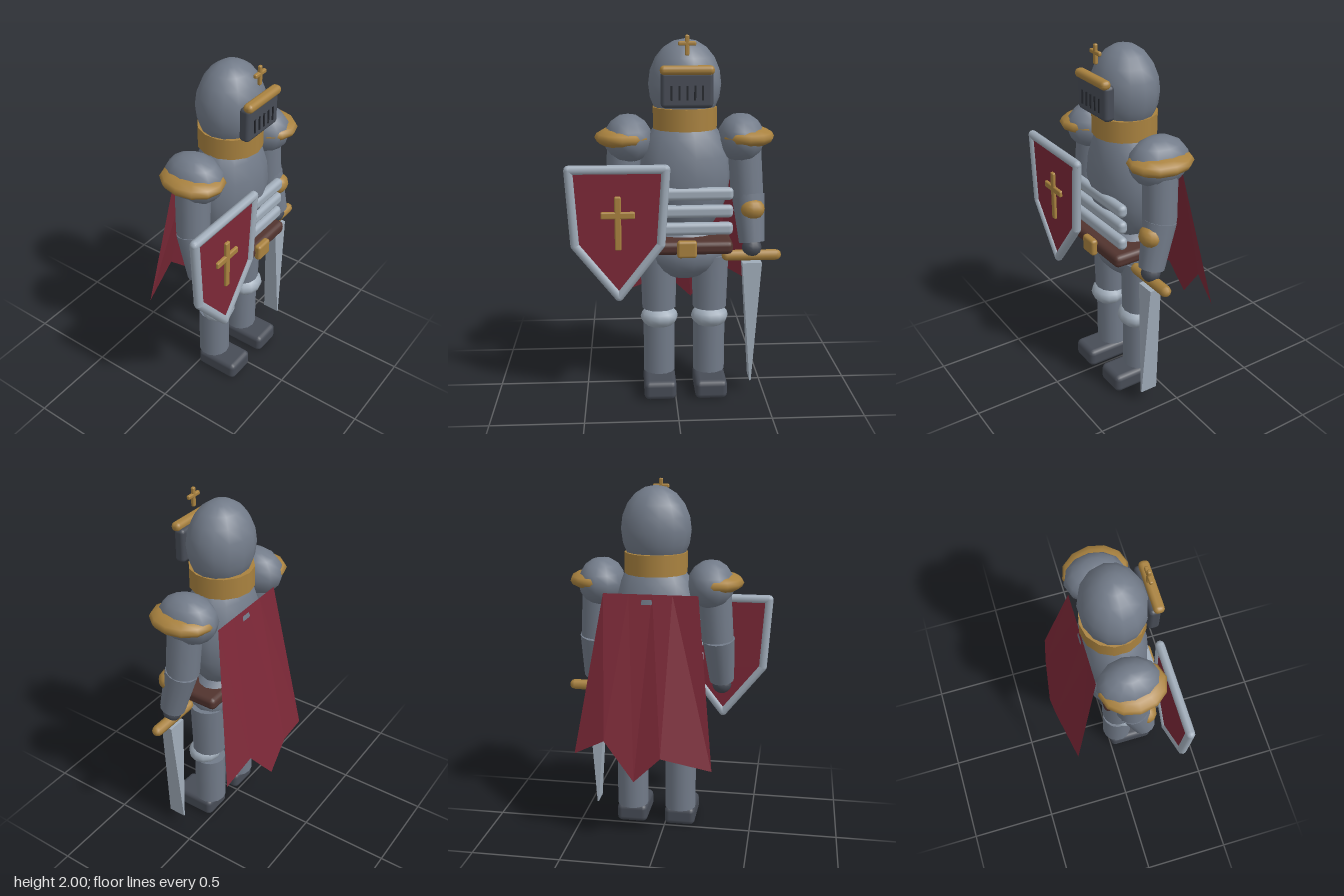
import * as THREE from 'three';
import { RoundedBoxGeometry } from 'three/addons/geometries/RoundedBoxGeometry.js';

const material = (name, color, side = THREE.FrontSide) => {
  const m = new THREE.MeshStandardMaterial({ color, side });
  m.name = name;
  return m;
};

export function createModel() {
  const steel = material('steel', 0x727b89);
  const brightSteel = material('bright steel', 0xa0acb9);
  const darkSteel = material('dark steel', 0x474c56);
  const black = material('slit black', 0x24272d);
  const gold = material('gold', 0xa9823f);
  const leather = material('leather', 0x52342f);
  const red = material('red', 0x7c2837, THREE.DoubleSide);

  const knight = new THREE.Group();
  knight.name = 'knight';
  const CX = 0.055; // body axis
  const CZ = 0.06;

  const add = (name, geometry, mat, x = 0, y = 0, z = 0) => {
    const mesh = new THREE.Mesh(geometry, mat);
    mesh.name = name;
    mesh.position.set(x, y, z);
    knight.add(mesh);
    return mesh;
  };
  const ellipsoid = (name, mat, pos, [rx, ry, rz], w = 14, h = 10) =>
    add(name, new THREE.SphereGeometry(1, w, h).scale(rx, ry, rz), mat, ...pos);
  const block = (name, mat, pos, [w, h, d], r = 0.01) =>
    add(name, new RoundedBoxGeometry(w, h, d, 2, r), mat, ...pos);
  // Tapered or capsule bar between two points
  const bar = (name, mat, from, to, r1, r2, capsule = false) => {
    const a = new THREE.Vector3(...from), b = new THREE.Vector3(...to);
    const dir = b.clone().sub(a), len = dir.length();
    const geo = capsule ? new THREE.CapsuleGeometry(r1, len, 3, 8)
      : new THREE.CylinderGeometry(r2, r1, len, 14);
    const mesh = add(name, geo, mat, ...a.add(b).multiplyScalar(0.5).toArray());
    mesh.quaternion.setFromUnitVectors(new THREE.Vector3(0, 1, 0), dir.normalize());
    return mesh;
  };

  // Trunk
  ellipsoid('torso', steel, [CX, 1.25, CZ], [0.25, 0.36, 0.187]);
  ellipsoid('pelvis', steel, [CX, 0.82, CZ], [0.225, 0.16, 0.157]);
  for (const y of [1.175, 1.08, 0.985]) {
    block('bellyPlate', brightSteel, [CX, y, 0.225], [0.5, 0.07, 0.052], 0.024);
  }
  block('belt', leather, [CX, 0.885, 0.112], [0.5, 0.074, 0.325], 0.028);
  block('buckle', gold, [CX, 0.888, 0.285], [0.105, 0.094, 0.04], 0.015);

  // Collar and helmet
  add('collar', new THREE.CylinderGeometry(0.174, 0.174, 0.115, 14), gold, CX, 1.562, CZ);
  ellipsoid('helmet', steel, [CX, 1.74, CZ], [0.195, 0.236, 0.175]);
  block('visor', darkSteel, [CX, 1.725, 0.231], [0.27, 0.185, 0.06], 0.02);
  for (let i = -2; i <= 2; i++) {
    add('visorSlit', new THREE.BoxGeometry(0.01, 0.075, 0.008), black, CX + i * 0.04, 1.71, 0.262);
  }
  block('brow', gold, [CX, 1.825, 0.25], [0.28, 0.048, 0.055], 0.022);
  block('crestUpright', gold, [CX, 1.948, 0.23], [0.022, 0.104, 0.02], 0.007);
  block('crestCrossbar', gold, [CX, 1.957, 0.23], [0.092, 0.022, 0.02], 0.007);

  // Arms and legs, mirrored about the body axis
  for (const s of [1, -1]) {
    const X = (d) => CX + s * d;
    ellipsoid('pauldron', steel, [X(0.305), 1.447, 0.055], [0.13, 0.134, 0.17], 12, 8);
    ellipsoid('pauldronTrim', gold, [X(0.335), 1.458, 0.067], [0.15, 0.058, 0.18], 12, 8);
    bar('upperArm', steel, [X(0.325), 1.4, 0.06], [X(0.345), 1.13, 0.072], 0.093, 0.09);
    ellipsoid('elbow', gold, [X(0.365), 1.068, 0.145], [0.068, 0.058, 0.057], 12, 8);
    bar('forearm', steel, [X(0.35), 1.135, 0.075], [X(0.367), 0.88, 0.135], 0.09, 0.07);
    ellipsoid('hand', darkSteel, [X(0.367), 0.85, 0.138], [0.055, 0.052, 0.052], 12, 8);

    bar('thigh', steel, [X(0.145), 0.8, CZ], [X(0.143), 0.49, CZ], 0.103, 0.096);
    ellipsoid('knee', brightSteel, [X(0.142), 0.443, 0.09], [0.105, 0.068, 0.093], 12, 8);
    bar('shin', steel, [X(0.142), 0.415, CZ], [X(0.142), 0.11, CZ], 0.09, 0.09);
    block('foot', darkSteel, [X(0.142), 0.057, 0.135], [0.18, 0.108, 0.262], 0.03);
  }

  // Sword: the blade thins to an edge at the tip
  bar('crossguard', gold, [0.287, 0.806, 0.138], [0.555, 0.806, 0.138], 0.031, 0.031, true);
  const blade = new THREE.BoxGeometry(1, 0.69, 1).toNonIndexed();
  const bp = blade.attributes.position;
  for (let i = 0; i < bp.count; i++) {
    const top = bp.getY(i) > 0;
    bp.setX(i, bp.getX(i) * (top ? 0.108 : 0.008));
    bp.setZ(i, bp.getZ(i) * (top ? 0.065 : 0.1));
  }
  blade.computeVertexNormals();
  add('blade', blade, brightSteel, 0.422, 0.425, 0.143);

  // Shield
  const corners = [[-0.56, 1.322], [-0.058, 1.322], [-0.085, 0.918], [-0.308, 0.632], [-0.535, 0.918]];
  const face = new THREE.Shape(corners.map(([x, y]) => new THREE.Vector2(x, y)));
  add('shieldPanel', new THREE.ExtrudeGeometry(face, { depth: 0.02, bevelEnabled: false }), red, 0, 0, 0.278);
  corners.forEach((c, i) => {
    const n = corners[(i + 1) % corners.length];
    bar('shieldRim', brightSteel, [...c, 0.29], [...n, 0.29], 0.025, 0.025, true);
  });
  block('shieldUpright', gold, [-0.309, 1.038, 0.302], [0.035, 0.29, 0.024], 0.008);
  block('shieldCrossbar', gold, [-0.309, 1.082, 0.302], [0.18, 0.038, 0.024], 0.008);

  // Cape with a ragged hem
  const neck = [-0.2, -0.06, 0.05, 0.18, 0.32].map((x) => [x, 1.41, -0.102]);
  const hem = [[-0.3, 0.47, -0.25], [-0.025, 0.55, -0.31], [0.12, 0.41, -0.318],
    [0.29, 0.625, -0.285], [0.465, 0.53, -0.25]];
  const verts = [];
  for (let i = 0; i < 4; i++) {
    verts.push(neck[i], neck[i + 1], hem[i], hem[i], neck[i + 1], hem[i + 1]);
  }
  const cape = new THREE.BufferGeometry();
  cape.setAttribute('position', new THREE.Float32BufferAttribute(verts.flat(), 3));
  cape.computeVertexNormals();
  add('cape', cape, red);

  return knight;
}
